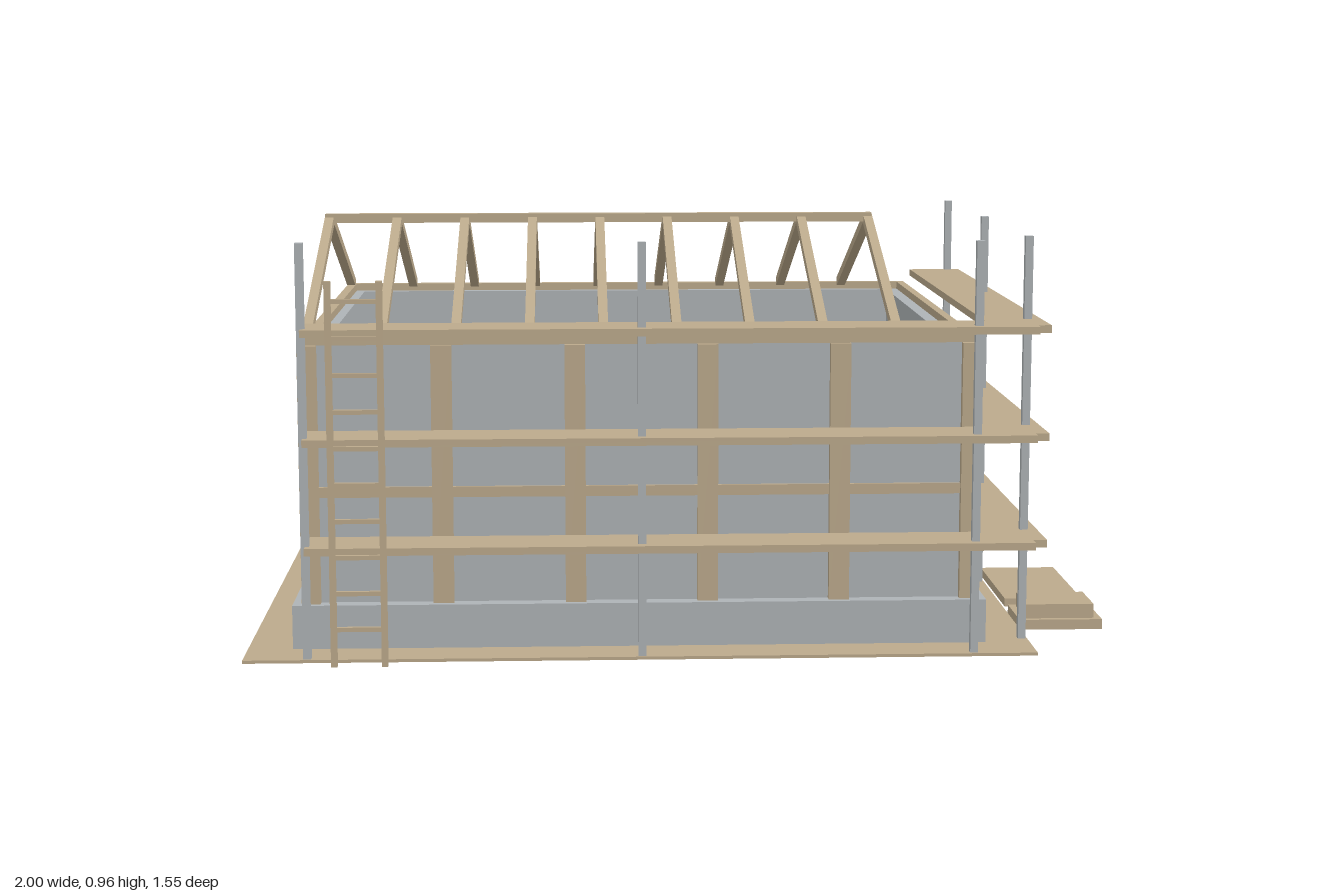
import * as THREE from 'three';

export function createModel() {
  const model = new THREE.Group();
  model.name = 'houseUnderConstruction';
  const wood = new THREE.MeshStandardMaterial({ color: 0xbcaa8c });
  wood.name = 'wood';
  const concrete = new THREE.MeshStandardMaterial({ color: 0xaeb3b6 });
  concrete.name = 'concreteGrey';

  const group = (name) => {
    const g = new THREE.Group();
    g.name = name;
    model.add(g);
    return g;
  };
  // box given by its minimum and maximum on each axis
  const box = (parent, name, mat, x0, x1, y0, y1, z0, z1) => {
    const m = new THREE.Mesh(new THREE.BoxGeometry(x1 - x0, y1 - y0, z1 - z0), mat);
    m.position.set((x0 + x1) / 2, (y0 + y1) / 2, (z0 + z1) / 2);
    m.name = name;
    parent.add(m);
  };
  // rectangular frame, outer and inner given as [x0, x1, z0, z1]
  const ring = (name, mat, outer, inner, y0, y1) => {
    const trace = (p, [x0, x1, z0, z1]) => {
      p.moveTo(x0, -z1); p.lineTo(x1, -z1); p.lineTo(x1, -z0); p.lineTo(x0, -z0); p.closePath();
      return p;
    };
    const s = trace(new THREE.Shape(), outer);
    s.holes.push(trace(new THREE.Path(), inner));
    const m = new THREE.Mesh(new THREE.ExtrudeGeometry(s, { depth: y1 - y0, bevelEnabled: false }), mat);
    m.rotation.x = -Math.PI / 2;
    m.position.y = y0;
    m.name = name;
    model.add(m);
  };

  // ground slab, floor, foundation and walls
  const base = [-0.897, 0.697, -0.672, 0.63];
  const inside = [-0.82, 0.615, -0.6, 0.545];
  ring('groundSlab', wood, [-1, 0.8, -0.775, 0.733], base, 0, 0.007);
  box(model, 'floor', wood, -0.82, 0.615, 0, 0.007, -0.6, 0.545);
  ring('foundation', concrete, base, inside, 0, 0.108);
  ring('walls', concrete, [-0.855, 0.655, -0.635, 0.595], inside, 0.108, 0.703);
  ring('middleRail', wood, [-0.863, 0.663, -0.643, 0.604], [-0.85, 0.65, -0.63, 0.59], 0.353, 0.377);
  ring('topPlate', wood, [-0.865, 0.665, -0.643, 0.6], [-0.843, 0.645, -0.622, 0.577], 0.703, 0.722);

  // wall posts on all four sides
  const posts = group('wallPosts');
  const post = (x, z, w, d) =>
    box(posts, 'wallPost', wood, x - w / 2, x + w / 2, 0.108, 0.703, z - d / 2, z + d / 2);
  for (let i = 1; i < 5; i++) {
    const x = -0.855 + i * 0.303;
    post(x, 0.602, 0.047, 0.026);
    post(x, -0.645, 0.047, 0.026);
  }
  for (let i = 1; i < 4; i++) {
    const z = 0.592 - i * 0.306;
    post(-0.863, z, 0.026, 0.047);
    post(0.667, z, 0.026, 0.047);
  }
  for (const x of [-0.855, 0.658]) for (const z of [0.592, -0.632]) post(x, z, 0.043, 0.046);

  // roof frame
  const roof = group('roofFrame');
  box(roof, 'ridgeBeam', wood, -0.865, 0.498, 0.935, 0.957, -0.032, -0.002);
  const ridgeZ = -0.017, run = 0.595, rise = -0.217;
  for (let i = 0; i < 9; i++) {
    const x = -0.855 + i * 0.168;
    for (const side of [-1, 1]) {
      const r = new THREE.Mesh(new THREE.BoxGeometry(0.022, 0.022, Math.hypot(run, rise)), wood);
      r.position.set(x, 0.942 + rise / 2, ridgeZ + side * run / 2);
      r.rotation.x = side * Math.atan2(-rise, run);
      r.name = 'rafter';
      roof.add(r);
    }
  }

  // scaffold poles and decks along the front and one side
  const scaffold = group('scaffold');
  const poles = [[-0.855, 0.718], [-0.1, 0.718], [0.655, 0.718], [0.787, 0.59], [0.787, -0.02], [0.787, -0.63]];
  for (const [x, z] of poles)
    box(scaffold, 'scaffoldPole', concrete, x - 0.009, x + 0.009, 0, 0.945, z - 0.009, z + 0.009);
  for (const y of [0.248, 0.493, 0.738]) {
    box(scaffold, 'frontDeck', wood, -0.855, 0.787, y, y + 0.017, 0.617, 0.75);
    box(scaffold, 'sideDeckEnd', wood, 0.787, 0.818, y, y + 0.017, 0.617, 0.72);
    box(scaffold, 'sideDeck', wood, 0.683, 0.818, y, y + 0.017, -0.632, 0.617);
  }

  // ladder
  const ladder = group('ladder');
  for (const x of [-0.79, -0.677])
    box(ladder, 'ladderRail', wood, x - 0.007, x + 0.007, 0, 0.865, 0.759, 0.775);
  for (let i = 0; i < 10; i++) {
    const y = 0.085 + i * 0.0817;
    box(ladder, 'ladderRung', wood, -0.784, -0.683, y - 0.005, y + 0.005, 0.762, 0.772);
  }

  // stacked boards beside the house
  const boards = group('boardStacks');
  box(boards, 'wideBoard', wood, 0.81, 1, 0, 0.02, -0.118, 0.24);
  box(boards, 'lowerStack', wood, 0.803, 1, 0, 0.024, 0.324, 0.485);
  box(boards, 'upperStack', wood, 0.82, 0.982, 0.024, 0.058, 0.34, 0.47);

  return model;
}
